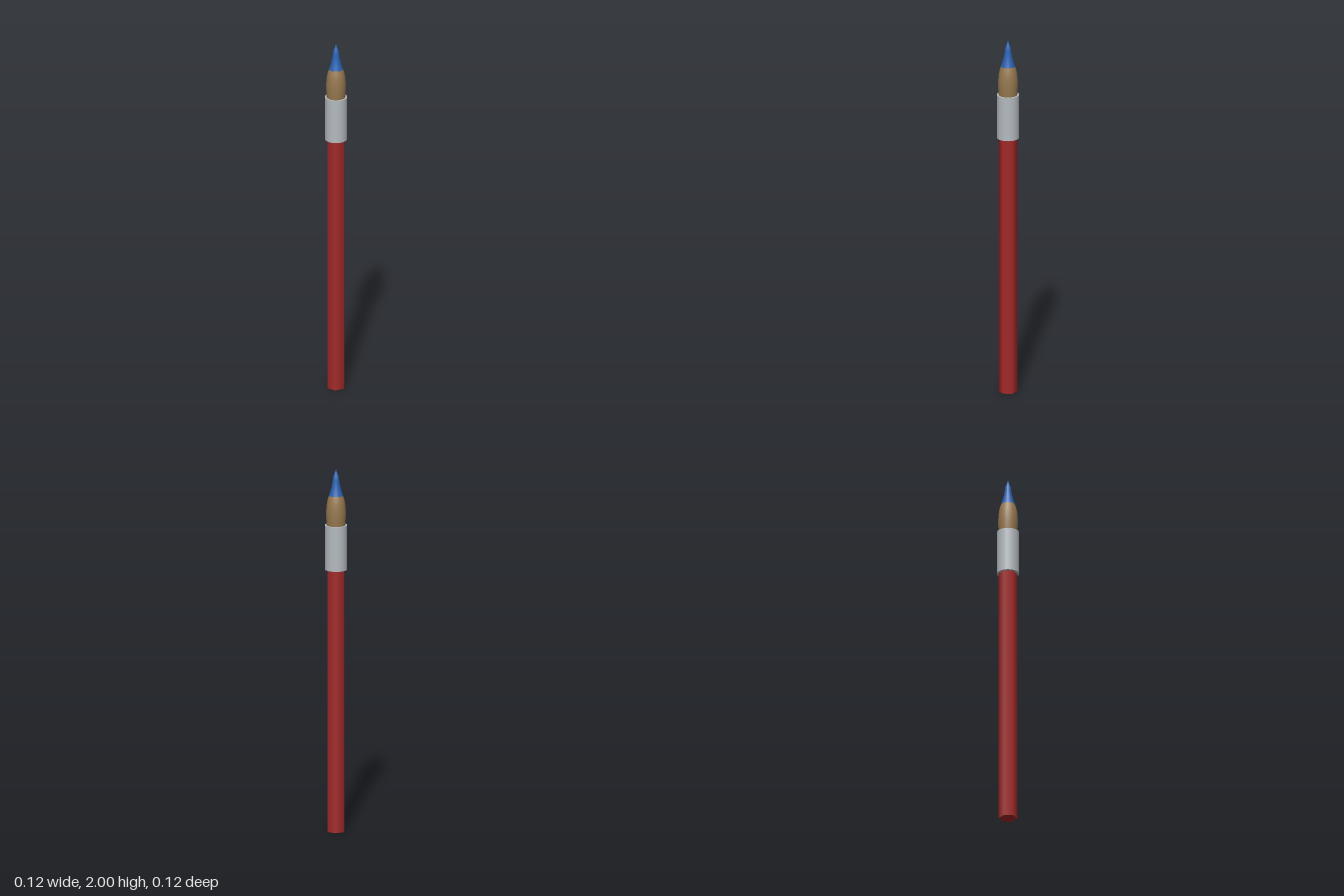
import * as THREE from 'three';

const SIDES = 20;

function mesh(name, geometry, color) {
  const m = new THREE.Mesh(geometry, new THREE.MeshStandardMaterial({ color, side: THREE.DoubleSide }));
  m.name = name;
  return m;
}

// Solid of revolution from [radius, height] pairs, bottom to top
function lathe(profile) {
  return new THREE.LatheGeometry(profile.map(([r, y]) => new THREE.Vector2(r, y)), SIDES);
}

export function createModel() {
  const group = new THREE.Group();
  group.name = 'paintbrush';

  // Hexagonal handle with corners on the x axis
  const handle = mesh('handle', new THREE.CylinderGeometry(0.05, 0.05, 1.46, 6, 1, false, Math.PI / 2), 0xa52a2a);
  handle.position.y = 0.73;
  group.add(handle);

  // Metal collar
  const ferrule = mesh('ferrule', new THREE.CylinderGeometry(0.06, 0.06, 0.245, SIDES), 0xb4babf);
  ferrule.position.y = 1.5675;
  group.add(ferrule);

  // Bristles, swelling slightly above the collar
  group.add(mesh('bristles', lathe([
    [0.048, 1.66], [0.05, 1.69], [0.053, 1.73], [0.053, 1.77], [0.05, 1.805], [0.045, 1.83], [0.038, 1.852],
  ]), 0x96784f));

  // Paint-covered tip drawn to a point
  group.add(mesh('paintTip', lathe([
    [0.038, 1.852], [0.029, 1.88], [0.022, 1.91], [0.018, 1.935], [0.016, 1.955], [0.009, 1.972], [0.004, 1.985], [0, 2],
  ]), 0x2860b0));

  return group;
}
